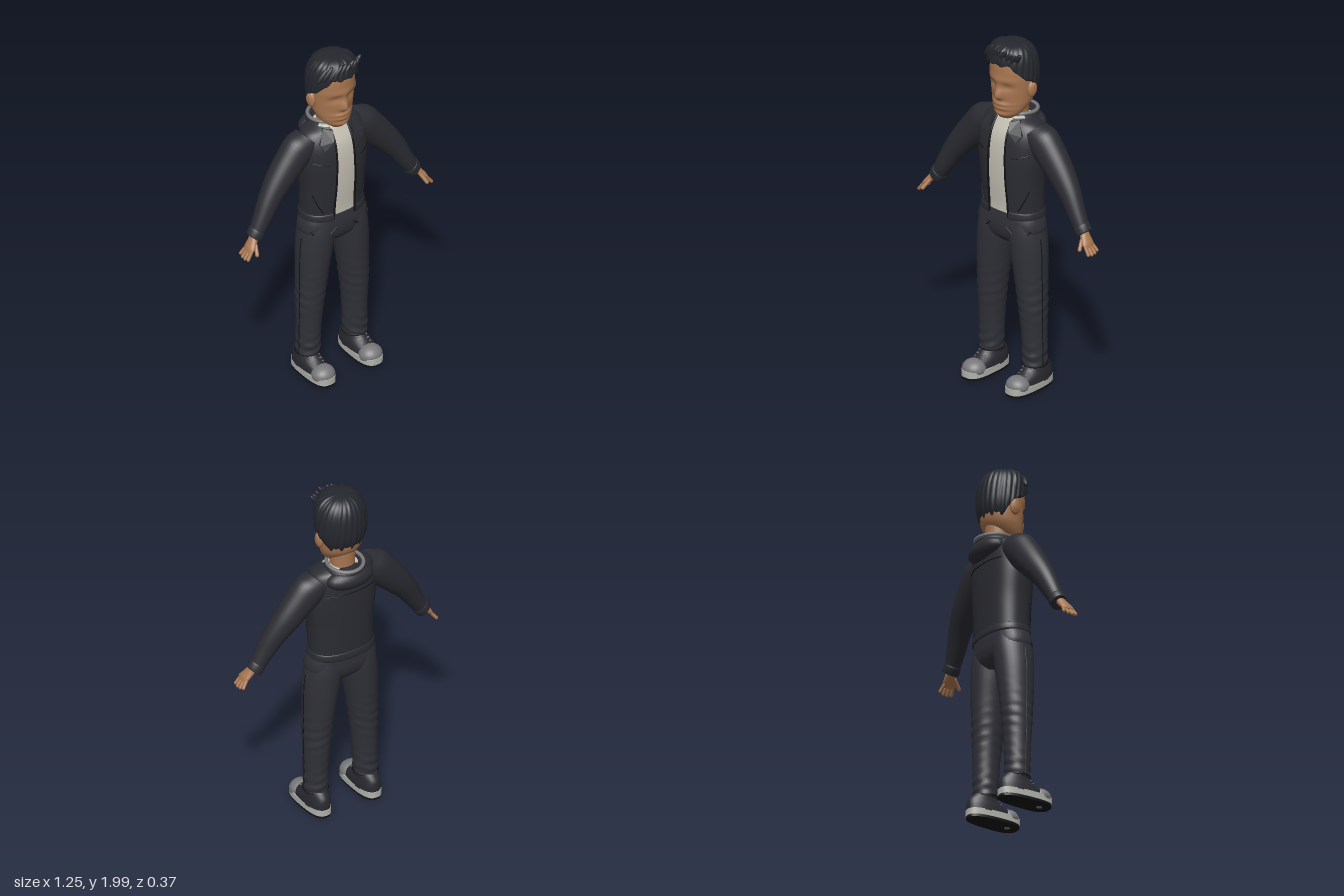
import * as THREE from 'three';

const mat = (name, color, side = THREE.FrontSide) =>
  Object.assign(new THREE.MeshStandardMaterial({ color, side }), { name });
const V = (x, y, z) => new THREE.Vector3(x, y, z);
const gauss = (d, s) => Math.exp(-(d * d) / (2 * s * s));

// Section: [x, y, z, radius across, radius in z, tilt, roundness power]
function smooth(sections, n) {
  const rows = sections.map(s => [...s, ...[0, 0, 0, 0, 0, 0, 2].slice(s.length)]);
  const spline = new THREE.CubicInterpolant(
    Float32Array.from(rows.keys()), Float32Array.from(rows.flat()), 7);
  return Array.from({ length: n + 1 }, (_, i) =>
    Array.from(spline.evaluate(i / n * (rows.length - 1))));
}

// Skin a stack of point rings, optionally closing the ring and capping the ends
function skin(rings, closed = true, caps = true) {
  const m = rings[0].length, pos = [], idx = [];
  rings.forEach(r => r.forEach(p => pos.push(p.x, p.y, p.z)));
  for (let i = 0; i < rings.length - 1; i++)
    for (let j = 0; j < (closed ? m : m - 1); j++) {
      const a = i * m + j, b = i * m + (j + 1) % m;
      idx.push(a, a + m, b, b, a + m, b + m);
    }
  if (caps) [0, rings.length - 1].forEach(i => {
    const c = rings[i].reduce((s, p) => s.add(p), V(0, 0, 0)).divideScalar(m);
    const base = pos.length / 3;
    rings[i].forEach(p => pos.push(p.x, p.y, p.z));
    pos.push(c.x, c.y, c.z);
    for (let j = 0; j < m; j++) {
      const a = base + j, b = base + (j + 1) % m;
      if (i === 0) idx.push(base + m, a, b); else idx.push(base + m, b, a);
    }
  });
  const g = new THREE.BufferGeometry();
  g.setAttribute('position', new THREE.Float32BufferAttribute(pos, 3));
  g.setIndex(idx);
  g.computeVertexNormals();
  return g;
}

function loft(sections, { n = 24, seg = 32, gap = null, rule = null } = {}) {
  const rings = smooth(sections, n).map(([x, y, z, a, b, tilt, p]) => {
    const t0 = gap ? Math.acos(Math.pow(gap(y) / a, p / 2)) : 0;
    const from = gap ? Math.PI - t0 : 0, span = gap ? Math.PI + 2 * t0 : Math.PI * 2;
    return Array.from({ length: gap ? seg + 1 : seg }, (_, j) => {
      const t = from + span * j / seg, c = Math.cos(t), s = Math.sin(t);
      const u = a * Math.sign(c) * Math.abs(c) ** (2 / p);
      const q = V(x + u * Math.cos(tilt), y + u * Math.sin(tilt),
        z + b * Math.sign(s) * Math.abs(s) ** (2 / p));
      if (rule) rule(q);
      return q;
    });
  });
  return skin(rings, !gap, !gap);
}

// Front surface depth of an upright loft
function frontZ(rows, x, y) {
  const r = rows.reduce((m, q) => Math.abs(q[1] - y) < Math.abs(m[1] - y) ? q : m);
  const k = Math.min(1, Math.abs(x - r[0]) / r[3]);
  return r[2] + r[4] * (1 - k ** r[6]) ** (1 / r[6]);
}
const tube = (pts, r) =>
  new THREE.TubeGeometry(new THREE.CatmullRomCurve3(pts), 32, r, 6);
const ball = (x, y, z, rx, ry, rz) =>
  new THREE.SphereGeometry(1, 24, 16).scale(rx, ry, rz).translate(x, y, z);
function capsule(a, b, r) {
  const d = b.clone().sub(a), mid = a.clone().add(b).multiplyScalar(0.5);
  const q = new THREE.Quaternion().setFromUnitVectors(V(0, 1, 0), d.clone().normalize());
  return new THREE.CapsuleGeometry(r, d.length(), 5, 10).applyQuaternion(q).translate(mid.x, mid.y, mid.z);
}
function mirrored(geo) {
  const g = geo.clone().scale(-1, 1, 1);
  const i = g.index ? Array.from(g.index.array) : [...Array(g.attributes.position.count).keys()];
  for (let k = 0; k < i.length; k += 3) [i[k + 1], i[k + 2]] = [i[k + 2], i[k + 1]];
  g.setIndex(i);
  return g;
}

export function createModel() {
  const model = new THREE.Group();
  model.name = 'standingMan';
  const skinM = mat('skin', 0xa87650), hairM = mat('hair', 0x24272d);
  const jacket = mat('jacket', 0x2b2c32, THREE.DoubleSide), pants = mat('trousers', 0x303138);
  const shirt = mat('shirt', 0xc6c1b5), trim = mat('blackTrim', 0x121215);
  const grey = mat('greyRubber', 0x78787a), sole = mat('paleSole', 0xb2b2ae);
  const shoe = mat('shoeCloth', 0x292a30);
  const add = (name, geo, m) => {
    const mesh = new THREE.Mesh(geo, m);
    mesh.name = name;
    model.add(mesh);
  };
  const pair = (name, geo, m) => {
    add(name + 'Left', geo, m);
    add(name + 'Right', mirrored(geo), m);
  };

  // Head with nose, brow, sockets, lips and chin raised by rule
  add('head', loft([
    [0, 1.565, 0.035, 0.045, 0.035], [0, 1.6, 0.015, 0.085, 0.07], [0, 1.65, -0.01, 0.11, 0.098],
    [0, 1.7, -0.02, 0.12, 0.113], [0, 1.78, -0.02, 0.127, 0.12], [0, 1.86, -0.02, 0.128, 0.12],
    [0, 1.93, -0.02, 0.11, 0.105], [0, 1.97, -0.02, 0.06, 0.06]], {
    n: 64, seg: 72, rule: p => {
      if (p.z < 0.01) return;
      const { x, y } = p, ax = Math.abs(x);
      p.z += 0.03 * gauss(x, 0.016) * gauss(y - 1.7, y < 1.7 ? 0.014 : 0.035)
        + 0.006 * gauss(y - 1.795, 0.014) * gauss(x, 0.08)
        - 0.012 * gauss(ax - 0.05, 0.024) * gauss(y - 1.757, 0.016)
        + 0.014 * gauss(x, 0.045) * (gauss(y - 1.652, 0.009) + gauss(y - 1.628, 0.008))
        + 0.012 * gauss(x, 0.04) * gauss(y - 1.59, 0.014);
    }
  }), skinM);
  add('neck', loft([[0, 1.48, -0.045, 0.075, 0.075], [0, 1.56, -0.04, 0.068, 0.07],
    [0, 1.68, -0.03, 0.075, 0.085]], { n: 8 }), skinM);
  pair('ear', ball(0.134, 1.742, -0.02, 0.02, 0.047, 0.03).rotateY(0), skinM);
  pair('earFold', ball(0.148, 1.748, -0.024, 0.008, 0.034, 0.02), skinM);

  // Swept hair: a ridged shell whose lower edge follows the hairline
  const line = [[0, 1.89], [0.6, 1.892], [1, 1.83], [1.5, 1.79], [1.8, 1.755], [2.1, 1.69], [3.15, 1.66]];
  const edge = f => {
    const i = Math.max(1, line.findIndex(q => q[0] >= f)), [a, b] = [line[i - 1], line[i]];
    return THREE.MathUtils.lerp(a[1], b[1], (f - a[0]) / (b[0] - a[0]));
  };
  const hairRings = [];
  for (let i = 0; i <= 30; i++) hairRings.push(Array.from({ length: 160 }, (_, j) => {
    const th = j / 160 * Math.PI * 2, front = Math.sin(th), f = Math.acos(THREE.MathUtils.clamp(front, -1, 1));
    const t = Math.max(0, i - 1) / 29, e = edge(f), y = e + (1.992 - e) * Math.sin(t * Math.PI / 2);
    const k = (y - 1.8) / 0.192, pw = front > 0 ? 3.6 : 2.8;
    let r = k > 0 ? Math.max(0, 1 - k ** pw) ** (1 / pw) : 1 - 0.3 * ((1.8 - y) / 0.13) ** 2;
    r *= (i === 0 ? 0.82 : 1) * (1 + 0.035 * Math.abs(Math.sin(th * 13 + t * 4)) - 0.02);
    return V(0.146 * r * Math.cos(th), y + 0.005 * Math.sin(th * 13 + t * 4) * (1 - t),
      -0.02 + 0.014 * Math.max(0, k) * Math.max(0, front) + 0.134 * r * front);
  }));
  add('hair', skin(hairRings), hairM);
  for (let i = 0; i < 10; i++) {
    const x = -0.115 + i * 0.024, z = 0.098 - 3.6 * x * x;
    const lock = new THREE.SphereGeometry(1, 12, 10).scale(0.016, 0.052, 0.016)
      .rotateZ(-0.65).rotateX(0.15).translate(x, 1.935 + 0.008 * Math.sin(i * 2.3) - 1.2 * x * x, z);
    add('fringeLock' + i, lock, hairM);
  }

  // Shirt and open jacket share the same torso sections
  const torso = [
    [0, 1, -0.02, 0.188, 0.118, 0, 2.4], [0, 1.06, -0.02, 0.186, 0.12, 0, 2.4],
    [0, 1.2, -0.015, 0.19, 0.128, 0, 2.4], [0, 1.35, -0.015, 0.204, 0.13, 0, 2.4],
    [0, 1.46, -0.02, 0.2, 0.122, 0, 2.3], [0, 1.53, -0.03, 0.178, 0.1, 0, 2.2],
    [0, 1.565, -0.035, 0.11, 0.085, 0, 2]];
  const body = smooth(torso, 200);
  const gap = y => 0.068 - 0.014 * (y - 1) / 0.56;
  add('shirt', loft(torso.map(([x, y, z, a, b, t, p]) => [x, y, z, a - 0.012, b - 0.01, t, p])), shirt);
  add('jacketBody', loft(torso, { n: 36, seg: 64, gap }), jacket);
  const onBody = pts => pts.map(([x, y]) => V(x, y, frontZ(body, x, y)));
  pair('zip', tube(onBody([1, 1.1, 1.2, 1.3, 1.4, 1.48, 1.53, 1.555].map(y => [gap(y), y])), 0.006), trim);
  pair('chestPocketSeam', tube(onBody([[0.1, 1.36], [0.14, 1.372], [0.18, 1.385]]), 0.0035), trim);
  pair('sidePocketSeam', tube(onBody([[0.125, 1.05], [0.15, 1.1], [0.175, 1.17]]), 0.0035), trim);
  add('jacketHem', loft([[0, 0.992, -0.02, 0.188, 0.12, 0, 2.4], [0, 1.002, -0.02, 0.194, 0.125, 0, 2.4],
    [0, 1.03, -0.02, 0.191, 0.123, 0, 2.4], [0, 1.036, -0.02, 0.186, 0.119, 0, 2.4]],
  { n: 8, seg: 64, gap: () => 0.07 }), jacket);
  add('backYokeSeam', tube([-0.15, -0.08, 0, 0.08, 0.15].map(x =>
    V(x, 1.42, -0.038 - frontZ(body, x, 1.42))), 0.003), trim);

  // Collar flaps laid over the chest
  const flap = new THREE.Shape([[0.052, 1.55], [0.095, 1.562], [0.145, 1.492], [0.125, 1.462], [0.07, 1.5]]
    .map(p => new THREE.Vector2(...p)));
  const flapGeo = new THREE.ExtrudeGeometry(flap, { depth: 0.012, bevelEnabled: false });
  const fp = flapGeo.attributes.position;
  for (let i = 0; i < fp.count; i++) fp.setZ(i, fp.getZ(i) + 0.003 + frontZ(body, fp.getX(i), fp.getY(i)));
  flapGeo.computeVertexNormals();
  pair('collarFlap', flapGeo, jacket);
  add('collarBack', new THREE.TorusGeometry(0.095, 0.022, 10, 32, Math.PI * 1.3)
    .rotateZ(-Math.PI * 0.15).rotateX(-Math.PI / 2).translate(0, 1.553, -0.055), jacket);

  // Hood folded on the back, with its grey rim
  add('hood', ball(0, 1.507, -0.112, 0.142, 0.064, 0.076), jacket);
  add('hoodRim', new THREE.TorusGeometry(0.098, 0.01, 10, 40).rotateX(Math.PI / 2).scale(1, 1, 1.05)
    .rotateX(-0.06).translate(0, 1.58, -0.066), grey);

  // Sleeves, cuffs and hands
  pair('sleeve', loft([
    [0.52, 1.045, 0, 0.043, 0.042, 0.75], [0.475, 1.12, -0.005, 0.053, 0.05, 0.7],
    [0.42, 1.21, -0.015, 0.064, 0.06, 0.65], [0.35, 1.3, -0.025, 0.078, 0.072, 0.7],
    [0.27, 1.39, -0.03, 0.09, 0.08, 0.78], [0.2, 1.46, -0.032, 0.096, 0.084, 0.75],
    [0.145, 1.492, -0.032, 0.08, 0.078, 0.8]], { n: 32 }), jacket);
  pair('cuff', loft([[0.535, 1.025, 0, 0.042, 0.04, 0.72], [0.532, 1.029, 0, 0.047, 0.045, 0.72],
    [0.512, 1.058, 0, 0.049, 0.047, 0.72], [0.506, 1.064, 0, 0.044, 0.043, 0.72]], { n: 8 }), jacket);
  pair('palm', loft([[0.592, 0.968, 0.022, 0.01, 0.034, 0.6], [0.578, 0.987, 0.022, 0.016, 0.039, 0.6],
    [0.555, 1.012, 0.015, 0.02, 0.034, 0.6], [0.528, 1.045, 0.005, 0.024, 0.026, 0.6]], { n: 12, seg: 20 }), skinM);
  for (let i = 0; i < 4; i++) {
    const z = 0.05 - i * 0.019, len = [0.9, 1, 0.95, 0.78][i];
    pair('finger' + i, capsule(V(0.584, 0.978, z),
      V(0.584 + 0.031 * len, 0.978 - 0.041 * len, z + 0.006 - i * 0.005), 0.0095), skinM);
  }
  pair('thumb', capsule(V(0.55, 1.005, 0.04), V(0.567, 0.965, 0.076), 0.011), skinM);

  // Trousers: hips, legs with soft creases, seams and pockets
  const hips = [
    [0, 0.835, -0.015, 0.09, 0.07], [0, 0.87, -0.015, 0.18, 0.1, 0, 2.4], [0, 0.92, -0.015, 0.206, 0.115, 0, 2.5],
    [0, 0.97, -0.015, 0.202, 0.117, 0, 2.5], [0, 1.02, -0.018, 0.184, 0.114, 0, 2.4]];
  const hipRows = smooth(hips, 60);
  add('hips', loft(hips), pants);
  const legs = [
    [0.157, 0.13, -0.02, 0.066, 0.068], [0.156, 0.2, -0.02, 0.068, 0.07], [0.152, 0.34, -0.018, 0.07, 0.075],
    [0.145, 0.5, -0.015, 0.079, 0.086], [0.131, 0.68, -0.015, 0.091, 0.1], [0.119, 0.8, -0.015, 0.1, 0.108],
    [0.108, 0.9, -0.015, 0.1, 0.112], [0.1, 0.98, -0.015, 0.09, 0.105]];
  pair('leg', loft(legs, {
    n: 60, rule: p => {
      const w = gauss(p.y - 0.52, 0.08) + gauss(p.y - 0.2, 0.06);
      p.z += 0.004 * w * Math.sin(p.y * 110 + p.x * 30);
      p.x += 0.003 * w * Math.sin(p.y * 95 + p.z * 40);
    }
  }), pants);
  pair('legHem', new THREE.TorusGeometry(0.067, 0.005, 6, 32).rotateX(Math.PI / 2).translate(0.157, 0.137, -0.02), trim);
  pair('sideSeam', tube(smooth(legs, 12).slice(0, 11).map(r => V(r[0] + r[3], r[1], r[2] + 0.01)), 0.0028), trim);
  pair('pocketSeam', tube([[0.055, 0.945], [0.09, 0.915], [0.13, 0.9], [0.17, 0.915], [0.19, 0.94]]
    .map(([x, y]) => V(x, y, frontZ(hipRows, x, y) + 0.001)), 0.0035), trim);

  // Shoes: tread, pale sole, cloth upper, grey toe cap and laces
  const slab = (y0, y1, a, b) => loft([[0.158, y0, 0.025, a, b, 0, 2.8], [0.158, y1, 0.025, a, b, 0, 2.8]],
    { n: 1, seg: 40, rule: p => { p.x = 0.158 + (p.x - 0.158) * (0.92 + 0.5 * Math.max(-0.15, Math.min(0.16, p.z))); } });
  pair('tread', slab(0, 0.014, 0.068, 0.157), trim);
  pair('sole', slab(0.014, 0.05, 0.071, 0.16), sole);
  pair('shoeUpper', loft([[0.158, 0.045, 0.015, 0.065, 0.147, 0, 2.4], [0.158, 0.08, -0.002, 0.063, 0.13, 0, 2.3],
    [0.158, 0.108, -0.025, 0.058, 0.102], [0.158, 0.13, -0.03, 0.055, 0.082],
    [0.158, 0.145, -0.03, 0.05, 0.07]], { n: 12 }), shoe);
  pair('toeCap', ball(0.158, 0.05, 0.117, 0.067, 0.052, 0.064), grey);
  for (let i = 0; i < 3; i++)
    pair('lace' + i, capsule(V(0.13, 0.099 + i * 0.013, 0.078 - i * 0.017),
      V(0.186, 0.099 + i * 0.013, 0.078 - i * 0.017), 0.0045), grey);
  return model;
}
